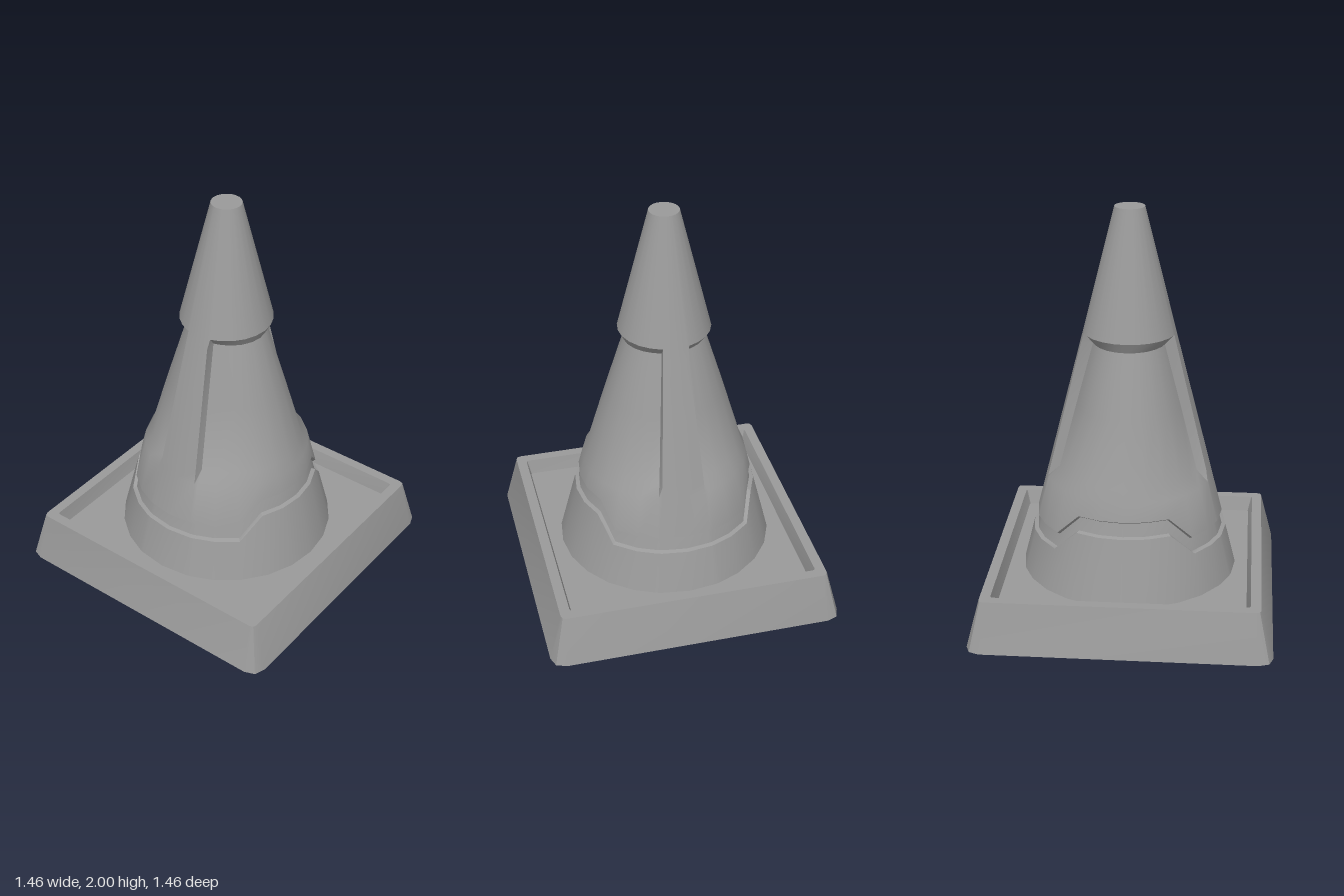
import * as THREE from 'three';
import { toCreasedNormals } from 'three/addons/utils/BufferGeometryUtils.js';

const rad = THREE.MathUtils.degToRad;

// Skin a stack of closed rings (counter-clockwise from above, listed bottom to top).
function loft(name, rings, crease) {
  const n = rings[0].length, index = [], points = rings.flat();
  const tri = (a, b, c) => {
    const [p, q, r] = [points[a], points[b], points[c]];
    if (!p.equals(q) && !q.equals(r) && !p.equals(r)) index.push(a, b, c);
  };
  for (let i = 0; i < rings.length - 1; i++) {
    for (let j = 0; j < n; j++) {
      const a = i * n + j, b = i * n + (j + 1) % n;
      tri(a, b, b + n);
      tri(a, b + n, a + n);
    }
  }
  const geometry = new THREE.BufferGeometry().setFromPoints(points);
  geometry.setIndex(index);
  const mesh = new THREE.Mesh(
    toCreasedNormals(geometry, crease),
    new THREE.MeshStandardMaterial({ color: 0x9a9a9a })
  );
  mesh.name = name;
  return mesh;
}

// Square ring with softened corners: half size h, corner cut c.
function squareRing(h, c, y) {
  const corner = [[h, h - c], [h - 0.27 * c, h - 0.27 * c], [h - c, h]];
  const ring = [];
  for (let k = 0; k < 4; k++) {
    const cos = Math.round(Math.cos(k * Math.PI / 2)), sin = Math.round(Math.sin(k * Math.PI / 2));
    for (const [u, v] of corner) {
      ring.push(new THREE.Vector3(u * cos - v * sin, y, -(u * sin + v * cos)));
    }
  }
  return ring;
}

// Column angles of one quadrant, measured from the side towards the front;
// the step from 72.5 to 75 is the wall of the raised front and back strips.
const QUADRANT = [0, 15, 30, 45, 60, 72.5, 75, 90];

function bodyColumns() {
  const columns = [];
  for (let k = 0; k < 4; k++) {
    const list = k % 2 ? [...QUADRANT].reverse() : QUADRANT;
    for (const fold of list.slice(0, -1)) {
      columns.push({ fold, angle: rad(k % 2 ? (k + 1) * 90 - fold : k * 90 + fold) });
    }
  }
  return columns;
}

const coneRadius = y => 0.225 + 0.253 * (1.39 - y);

// Side panels are sunk to an oval; the strips keep the plain cone.
function panelRadius(fold, y, ax, az) {
  if (fold > 74) return coneRadius(y);
  return 1 / Math.hypot(Math.cos(rad(fold)) / ax, Math.sin(rad(fold)) / az);
}

// Lower edge of the shell: high at the sides, stepping down to front and back.
const shellEdge = fold => THREE.MathUtils.lerp(0.57, 0.456, THREE.MathUtils.clamp((fold - 30) / 15, 0, 1));

function createBody() {
  const columns = bodyColumns();
  const ring = (height, radius) => columns.map(({ fold, angle }) => {
    const y = height(fold), r = radius(fold, y);
    return new THREE.Vector3(r * Math.cos(angle), y, -r * Math.sin(angle));
  });
  const cone = (f, y) => coneRadius(y);
  const sunk = (f, y) => coneRadius(y) - 0.018;
  const rings = [
    ring(() => 0.17, cone),
    // stepped groove
    ring(f => shellEdge(f) - 0.08, cone),
    ring(f => shellEdge(f) - 0.074, sunk),
    ring(f => shellEdge(f) - 0.01, sunk),
    ring(shellEdge, cone),
    // shell with sunken side panels
    ring(() => 0.66, cone),
    ring(() => 0.715, (f, y) => panelRadius(f, y, 0.387, 0.35)),
    ring(() => 1.03, (f, y) => panelRadius(f, y, 0.295, 0.265)),
    ring(() => 1.34, (f, y) => panelRadius(f, y, 0.2, 0.179)),
    // tip
    ring(() => 1.39, cone),
    ring(() => 2, () => 0.073),
    ring(() => 2, () => 0),
  ];
  return loft('coneBody', rings, rad(36));
}

// Square foot with sloping sides and a sunken tray inside the rim.
function createBase() {
  return loft('base', [
    squareRing(0, 0, 0),
    squareRing(0.729, 0.07, 0),
    squareRing(0.666, 0.024, 0.245),
    squareRing(0.616, 0.014, 0.245),
    squareRing(0.597, 0.01, 0.17),
    squareRing(0, 0, 0.17),
  ], rad(20));
}

export function createModel() {
  const group = new THREE.Group();
  group.name = 'trafficCone';
  group.add(createBase(), createBody());
  return group;
}
